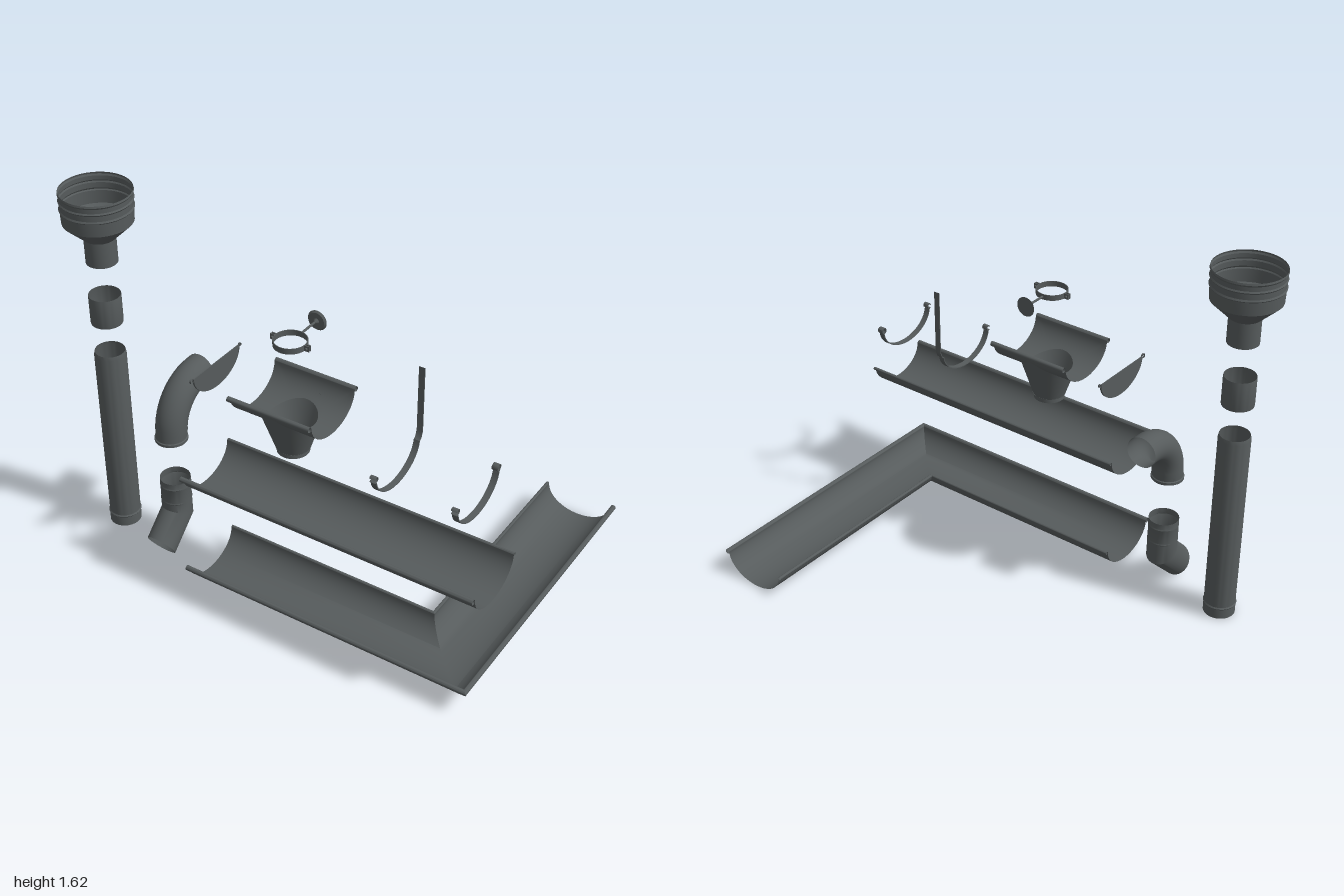
import * as THREE from 'three';
import { toCreasedNormals } from 'three/addons/utils/BufferGeometryUtils.js';

const metal = new THREE.MeshStandardMaterial({ color: 0x565b5c, side: THREE.DoubleSide });
metal.name = 'dark grey metal';

function add(parent, name, geometry, x = 0, y = 0, z = 0) {
  const mesh = new THREE.Mesh(geometry, metal);
  mesh.name = name;
  mesh.position.set(x, y, z);
  parent.add(mesh);
  return mesh;
}

// Grid surface: fn(i, j) returns a point, i in 0..nu and j in 0..nv
function surface(nu, nv, fn) {
  const pos = [], index = [];
  for (let i = 0; i <= nu; i++) for (let j = 0; j <= nv; j++) pos.push(...fn(i, j));
  for (let i = 0; i < nu; i++) for (let j = 0; j < nv; j++) {
    const a = i * (nv + 1) + j, b = a + nv + 1;
    index.push(a, b, a + 1, b, b + 1, a + 1);
  }
  const g = new THREE.BufferGeometry();
  g.setAttribute('position', new THREE.Float32BufferAttribute(pos, 3));
  g.setIndex(index);
  return toCreasedNormals(g, 0.6);
}

// Open round sheet-metal part from [radius, y] pairs
const turned = (pts) => toCreasedNormals(
  new THREE.LatheGeometry(pts.map(([r, y]) => new THREE.Vector2(r, y)), 40), 0.5);

// Bent pipe in the y-z plane from rings [y, z, tilt, radius across the bend]
const bentPipe = (rings, r) => surface(rings.length - 1, 36, (i, j) => {
  const [y, z, tilt, rb = r] = rings[i], a = j / 36 * Math.PI * 2;
  const c = Math.cos(a) * rb;
  return [Math.sin(a) * (i >= 0 ? Math.min(r, rb) : r), y + c * Math.sin(tilt), z + c * Math.cos(tilt)];
});

// Gutter cross-section: u outward, v up; a runs 0 (outer rim) to 1 (inner rim)
const HALF = 0.15, DEPTH = 0.11;
const bowl = (a) => [HALF * Math.cos(a * Math.PI), DEPTH * (1 - Math.sin(a * Math.PI))];

// Rolled rim, starting where the bowl ends
function bead(side, r) {
  const pts = [];
  for (let i = 0; i <= 14; i++) {
    const a = Math.PI - i / 14 * Math.PI * 1.95;
    pts.push([side * (HALF + r + r * Math.cos(a)), DEPTH - 0.002 + r * Math.sin(a)]);
  }
  return pts;
}

function gutterProfile(outer, inner) {
  const pts = bead(1, outer).reverse();
  for (let i = 0; i <= 28; i++) pts.push(bowl(i / 28));
  return pts.concat(bead(-1, inner));
}

// Sweep a profile through frames [x, z, outward x, outward z]
const sweep = (profile, frames) => surface(frames.length - 1, profile.length - 1, (i, j) => {
  const [x, z, ox, oz] = frames[i], [u, v] = profile[j];
  return [x + ox * u, v, z + oz * u];
});

function outletTray() {
  const g = new THREE.Group();
  g.name = 'outletTray';
  g.position.set(0.056, 0.897, 0.42);
  const L = 0.188, N = 64, hole = 0.098;
  // Trough with a round hole, blended from the hole to the rectangular edge
  add(g, 'trayTrough', surface(8, N, (i, j) => {
    const k = (j % N) / 16, s = Math.floor(k), f = (k - s) * 2 - 1;
    const [px, pa] = [[f, -1], [1, f], [-f, 1], [-1, -f]][s];
    const len = Math.hypot(px, pa), t = i / 8;
    const hx = hole * px / len;
    const ha = Math.asin(hole * pa / len / HALF) / (Math.PI / 2);
    const [u, v] = bowl((1 - (ha + (pa - ha) * t)) / 2);
    return [hx + (px * L - hx) * t, v, u];
  }));
  for (const side of [1, -1])
    add(g, 'trayRim', sweep(bead(side, 0.011), [[-L, 0, 0, 1], [L, 0, 0, 1]]));

  // Cone trimmed where it meets the underside of the trough
  const radius = (y) => 0.07 + 0.34 * (y + 0.135);
  add(g, 'trayCone', surface(6, 48, (i, j) => {
    const a = j / 48 * Math.PI * 2;
    let lo = -0.135, hi = DEPTH;
    for (let n = 0; n < 24; n++) {
      const y = (lo + hi) / 2, u = Math.min(HALF, Math.abs(radius(y) * Math.sin(a)));
      if (y < DEPTH * (1 - Math.sqrt(1 - (u / HALF) ** 2))) lo = y; else hi = y;
    }
    const y = -0.135 + (lo + 0.135) * i / 6, r = radius(y);
    return [r * Math.cos(a), y, r * Math.sin(a)];
  }));
  add(g, 'traySpigot', turned([[0.066, -0.155], [0.066, -0.135], [0.072, -0.132]]));
  return g;
}

// Flat strap hook following [z, y] points
function hook(name, x, withArm) {
  const pts = [];
  for (let i = 0; i <= 9; i++) {
    const a = -0.3 - i / 9 * Math.PI * 1.6;
    pts.push([0.553 + 0.012 * Math.cos(a), 0.872 - 0.012 * Math.sin(a)]);
  }
  for (let i = 0; i <= 24; i++) {
    const a = (0.03 + i / 24 * 0.94) * Math.PI;
    pts.push([0.397 + 0.155 * Math.cos(a), 0.868 - 0.111 * Math.sin(a)]);
  }
  if (withArm) pts.push([0.232, 0.865], [0.222, 0.89], [0.22, 1.178]);
  else for (let i = 0; i <= 9; i++) {
    const a = i / 9 * Math.PI * 1.6;
    pts.push([0.242 + 0.011 * Math.cos(a + Math.PI), 0.872 + 0.011 * Math.sin(a)]);
  }
  // Closed strap section: front face and back face a small distance apart
  const section = [[-1, 0], [1, 0], [1, 1], [-1, 1], [-1, 0]];
  return [name, surface(pts.length - 1, 4, (i, j) => {
    const p = pts[Math.max(0, i - 1)], q = pts[Math.min(pts.length - 1, i + 1)];
    const l = Math.hypot(q[0] - p[0], q[1] - p[1]) || 1, [w, t] = section[j];
    return [x + w * 0.013, pts[i][1] + t * 0.004 * (q[0] - p[0]) / l, pts[i][0] - t * 0.004 * (q[1] - p[1]) / l];
  })];
}

function pipeClamp() {
  const g = new THREE.Group();
  g.name = 'pipeClamp';
  g.position.set(0.056, 1.245, 0.426);
  add(g, 'clampRing', turned([[0.065, -0.012], [0.068, -0.012], [0.068, 0.012], [0.065, 0.012], [0.065, -0.012]]));
  for (const s of [-1, 1]) for (const d of [-1, 1])
    add(g, 'clampEar', new THREE.BoxGeometry(0.022, 0.024, 0.005), s * 0.077, 0, d * 0.005);
  for (const s of [-1, 1])
    add(g, 'clampBolt', new THREE.CylinderGeometry(0.005, 0.005, 0.03, 10), s * 0.078).rotation.x = Math.PI / 2;
  add(g, 'clampRod', new THREE.CylinderGeometry(0.005, 0.005, 0.115, 12), 0, 0, -0.122).rotation.x = Math.PI / 2;
  add(g, 'wallPlate', new THREE.CylinderGeometry(0.036, 0.043, 0.008, 32), 0, 0, -0.178).rotation.x = Math.PI / 2;
  add(g, 'plateBoss', new THREE.CylinderGeometry(0.006, 0.014, 0.012, 16), 0, 0, -0.17).rotation.x = Math.PI / 2;
  return g;
}

export function createModel() {
  const model = new THREE.Group();
  model.name = 'rainGutterSet';

  // Downpipe stack: hopper, connector and long pipe
  add(model, 'hopper', turned([[0.065, 1.31], [0.065, 1.42], [0.143, 1.495], [0.145, 1.55], [0.149, 1.555],
    [0.145, 1.562], [0.145, 1.585], [0.149, 1.591], [0.145, 1.597], [0.145, 1.615], [0.149, 1.622], [0.147, 1.63]]), -0.85, 0, 0.426);
  add(model, 'connector', turned([[0.066, 1.03], [0.067, 1.035], [0.067, 1.155], [0.066, 1.16]]), -0.85, 0, 0.43);
  add(model, 'downpipe', turned([[0.068, 0.01], [0.068, 0.055], [0.071, 0.06], [0.067, 0.066],
    [0.067, 0.875], [0.063, 0.892]]), -0.85, 0, 0.43);

  // Upper elbow, a quarter bend ending in a mouth towards the back
  const bend = [[0.562, 0.436, 0, 0.07], [0.574, 0.436, 0, 0.07], [0.577, 0.436, 0, 0.066]];
  for (let i = 0; i <= 12; i++) {
    const a = i / 12 * Math.PI / 2;
    bend.push([0.6 + 0.19 * Math.sin(a), 0.245 + 0.187 * Math.cos(a), a, 0.067]);
  }
  bend.push([0.79, 0.22, Math.PI / 2, 0.068]);
  add(model, 'upperElbow', bentPipe(bend, 0.07), -0.55);

  // Lower elbow, ribbed socket and mitred spout
  add(model, 'lowerElbow', bentPipe([[0.36, 0.43, 0, 0.065], [0.335, 0.43, 0, 0.065], [0.33, 0.43, 0, 0.068],
    [0.325, 0.43, 0, 0.065], [0.26, 0.43, 0, 0.065], [0.255, 0.43, 0, 0.068], [0.25, 0.43, 0, 0.065],
    [0.185, 0.43, 0.47, 0.074], [0.067, 0.553, 1.0, 0.071]], 0.066), -0.55);

  // Straight gutter and mitred corner gutter
  const profile = gutterProfile(0.011, 0.007);
  add(model, 'straightGutter', sweep(profile, [[-0.33, 0.495, 0, 1], [1, 0.495, 0, 1]]), 0, 0.475);
  add(model, 'cornerGutter', sweep(profile,
    [[-0.33, 0.495, 0, 1], [0.825, 0.495, 1, 1], [0.825, -0.67, 1, 0]]), 0, 0.012);

  model.add(outletTray());

  // End cap: thin half-round plate with a lip
  const shape = new THREE.Shape();
  for (let i = 0; i <= 28; i++) {
    const [u, v] = bowl(i / 28);
    if (i) shape.lineTo(u, v); else shape.moveTo(u, v);
  }
  const plate = new THREE.ExtrudeGeometry(shape, { depth: 0.004, bevelEnabled: false });
  plate.rotateY(-Math.PI / 2);
  add(model, 'endCap', toCreasedNormals(plate, 0.6), -0.318, 0.897, 0.403);
  add(model, 'endCapLip', sweep(gutterProfile(0.01, 0.007), [[-0.323, 0.403, 0, 1], [-0.315, 0.403, 0, 1]]), 0, 0.897);

  // Gutter hooks
  add(model, ...hook('armHook', 0.508, true));
  add(model, ...hook('shortHook', 0.853, false));

  model.add(pipeClamp());
  return model;
}
